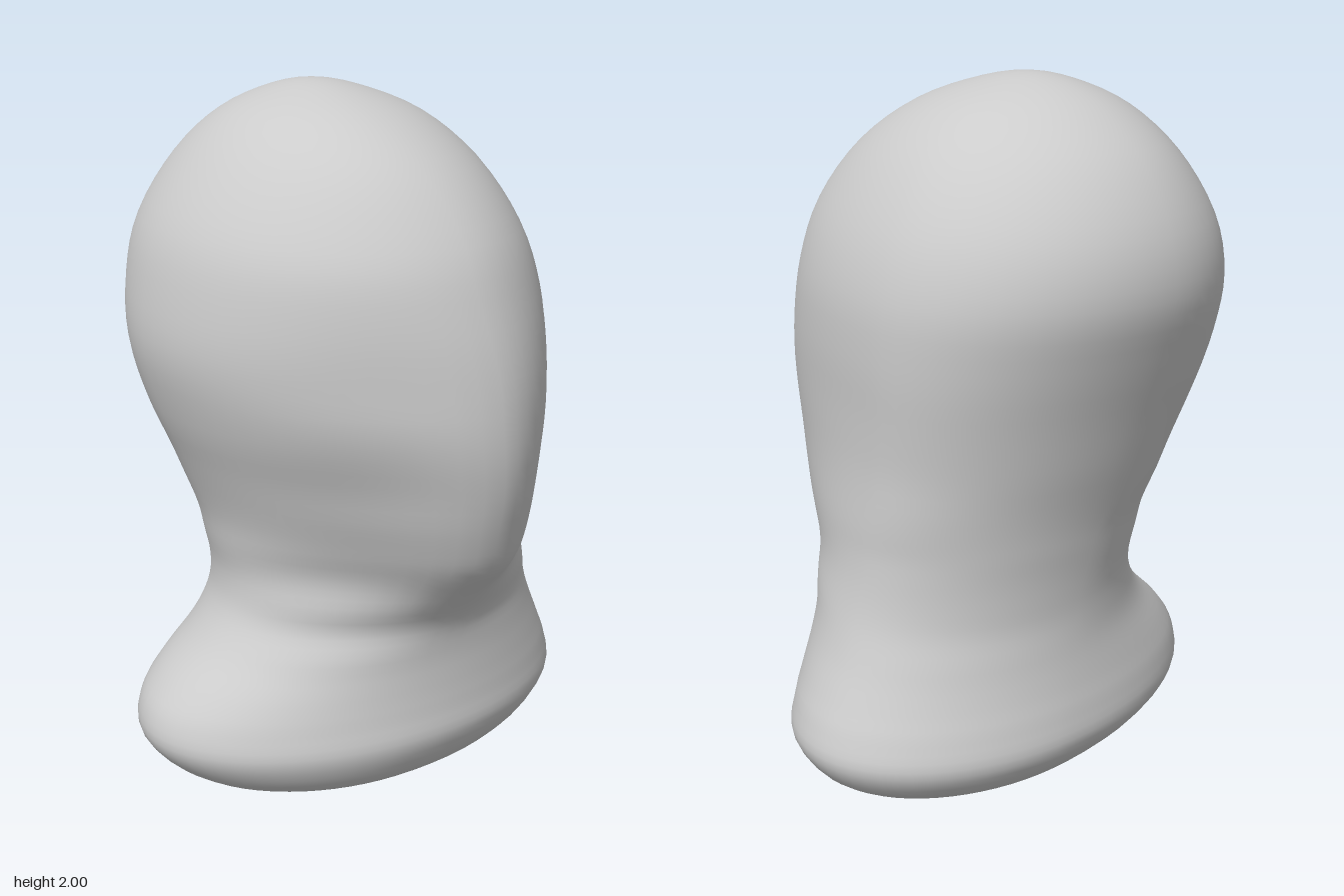
import * as THREE from 'three';
import { mergeVertices } from 'three/addons/utils/BufferGeometryUtils.js';

// Outline rows: y, xMin, xMax, zMin, zMax (last row mirrors past the crown so it closes round)
const OUTLINE = [
  [0.0, 0, 0, -0.03, -0.03],
  [0.0, -0.48, 0.5, -0.36, 0.3],
  [0.03, -0.61, 0.63, -0.44, 0.38],
  [0.13, -0.705, 0.705, -0.5, 0.43],
  [0.22, -0.7, 0.69, -0.49, 0.42],
  [0.3, -0.64, 0.655, -0.47, 0.41],
  [0.4, -0.53, 0.61, -0.45, 0.405],
  [0.5, -0.46, 0.575, -0.44, 0.42],
  [0.6, -0.44, 0.55, -0.445, 0.49],
  [0.7, -0.455, 0.535, -0.46, 0.58],
  [0.8, -0.475, 0.53, -0.48, 0.625],
  [0.95, -0.53, 0.52, -0.525, 0.665],
  [1.1, -0.59, 0.522, -0.57, 0.68],
  [1.28, -0.635, 0.53, -0.63, 0.665],
  [1.45, -0.625, 0.52, -0.675, 0.625],
  [1.62, -0.58, 0.465, -0.65, 0.56],
  [1.79, -0.47, 0.355, -0.55, 0.43],
  [1.91, -0.345, 0.215, -0.405, 0.255],
  [1.978, -0.2, 0.05, -0.25, 0.06],
  [2.0, -0.08, -0.08, -0.1, -0.1],
  [1.978, 0.05, -0.2, 0.06, -0.25],
];

// Skew rows: y, x of front point, x of back point, z of -x point, z of +x point, face bulge
const SKEW = [
  [0.0, -0.08, 0.12, 0.02, -0.09, 0],
  [0.4, 0.0, 0.06, 0.0, -0.07, 0],
  [0.52, 0.05, 0.03, 0.0, -0.06, 0.03],
  [0.7, 0.08, 0.0, -0.02, -0.08, 0.16],
  [0.9, 0.07, -0.05, -0.05, -0.11, 0.13],
  [1.2, 0.05, -0.08, -0.08, -0.14, 0.06],
  [1.6, 0.0, -0.08, -0.09, -0.15, 0.01],
  [2.0, -0.08, -0.08, -0.1, -0.1, 0],
];

function skewAt(y) {
  let i = 0;
  while (i < SKEW.length - 2 && y > SKEW[i + 1][0]) i++;
  const a = SKEW[i], b = SKEW[i + 1];
  const t = THREE.MathUtils.smoothstep(y, a[0], b[0]);
  return a.map((v, k) => THREE.MathUtils.lerp(v, b[k], t)).slice(1);
}

// Smooth interpolation through the outline rows
function outlineAt(u) {
  const i = Math.min(Math.floor(u), OUTLINE.length - 3);
  const t = u - i;
  const [a, b, c, d] = [Math.max(i - 1, 0), i, i + 1, i + 2].map((k) => OUTLINE[k]);
  return b.map((p, k) => {
    const m0 = (c[k] - a[k]) / 2, m1 = (d[k] - p) / 2;
    const t2 = t * t, t3 = t2 * t;
    return (2 * t3 - 3 * t2 + 1) * p + (t3 - 2 * t2 + t) * m0 +
      (3 * t2 - 2 * t3) * c[k] + (t3 - t2) * m1;
  });
}

// One point of a cross-section made from four quarter ellipses plus the face bulge
function sectionPoint(row, angle) {
  const [y, xMin, xMax, zMin, zMax] = row;
  const [xFront, xBack, zNeg, zPos, bulge] = skewAt(y);
  const c = Math.cos(angle), s = Math.sin(angle);
  const xMid = s > 0 ? xFront : xBack;
  const zMid = c > 0 ? zPos : zNeg;
  const x = xMid + ((c > 0 ? xMax : xMin) - xMid) * Math.abs(c);
  let z = zMid + ((s > 0 ? zMax - bulge : zMin) - zMid) * Math.abs(s);
  if (s > 0) z += bulge * s * Math.exp(-(((x - xFront) / 0.27) ** 2));
  // Underside rises slightly toward the back
  const lift = 0.022 * Math.max(0, 0.35 - z) * Math.max(0, 1 - y / 0.12);
  return [x, Math.max(0, y) + lift, z];
}

function loftGeometry(steps, sides) {
  const positions = [], index = [];
  const spans = OUTLINE.length - 2;
  const rings = spans * steps;
  for (let r = 0; r <= rings; r++) {
    const row = outlineAt(r / steps);
    for (let s = 0; s < sides; s++) {
      // Both end rings collapse to a single pole
      if (r === 0) positions.push(0, 0, -0.03);
      else if (r === rings) positions.push(-0.08, 2, -0.1);
      else positions.push(...sectionPoint(row, (s / sides) * Math.PI * 2));
    }
  }
  for (let r = 0; r < rings; r++) {
    for (let s = 0; s < sides; s++) {
      const a = r * sides + s, b = r * sides + ((s + 1) % sides);
      if (r < rings - 1) index.push(a, a + sides, b + sides);
      else index.push(a, a + sides, b);
      if (r > 0 && r < rings - 1) index.push(a, b + sides, b);
    }
  }
  const geometry = new THREE.BufferGeometry();
  geometry.setAttribute('position', new THREE.Float32BufferAttribute(positions, 3));
  geometry.setIndex(index);
  const merged = mergeVertices(geometry, 1e-5);
  merged.computeVertexNormals();
  return merged;
}

export function createModel() {
  const group = new THREE.Group();
  group.name = 'headBust';
  const material = new THREE.MeshStandardMaterial({ color: 0xcccccc });
  // Head, neck and shoulder base flow together as one smooth skin
  const bust = new THREE.Mesh(loftGeometry(4, 64), material);
  bust.name = 'headNeckAndBase';
  group.add(bust);
  return group;
}
